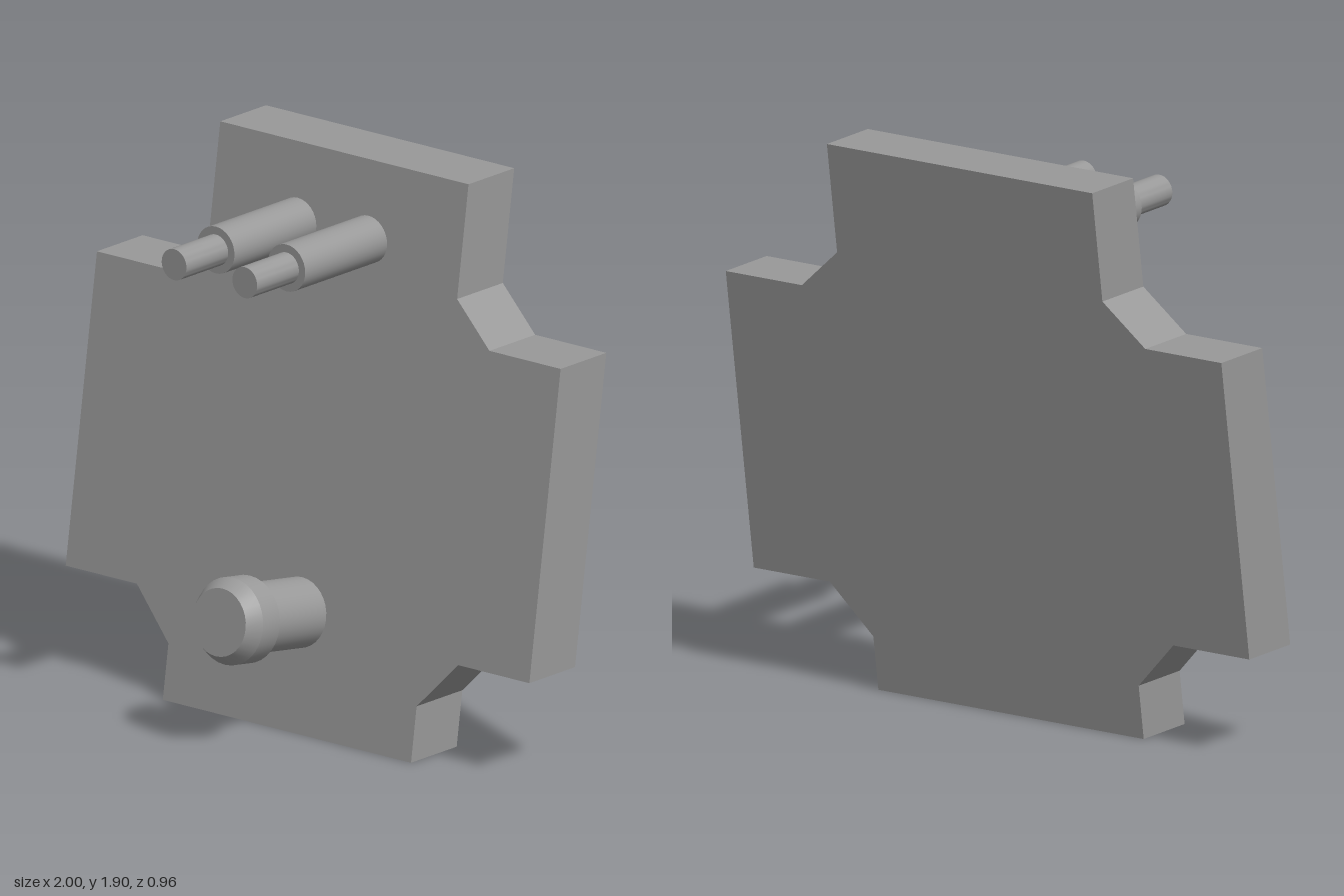
import * as THREE from 'three';
import { toCreasedNormals } from 'three/addons/utils/BufferGeometryUtils.js';

const LEAN = 0.152; // backward slope of the plate, z per unit of height
const THICKNESS = 0.23;

const material = new THREE.MeshStandardMaterial({ color: 0x999999 });

function part(name, geometry, parent) {
  const mesh = new THREE.Mesh(geometry, material);
  mesh.name = name;
  parent.add(mesh);
  return mesh;
}

// Turned part along +z, from [radius, z] pairs ordered back to front
function turned(profile) {
  const points = profile.map(([r, z]) => new THREE.Vector2(r, z));
  const geometry = new THREE.LatheGeometry(points, 32).rotateX(Math.PI / 2);
  return toCreasedNormals(geometry, 0.4);
}

// Cross-shaped plate with chamfered inner corners, sheared backward
function plateGeometry() {
  const half = [
    [0.53, 0], [0.53, 0.186], [0.686, 0.352], [0.99, 0.352],
    [0.99, 1.387], [0.686, 1.387], [0.53, 1.527], [0.53, 1.905],
  ];
  const mirrored = half.map(([x, y]) => [-x, y]).reverse();
  const outline = [...half, ...mirrored].map(([x, y]) => new THREE.Vector2(x, y));
  const geometry = new THREE.ExtrudeGeometry(new THREE.Shape(outline), {
    depth: THICKNESS, bevelEnabled: false,
  });
  geometry.translate(0, 0, -THICKNESS);
  return geometry.applyMatrix4(new THREE.Matrix4().set(
    1, 0, 0, 0,
    0, 1, 0, 0,
    0, -LEAN, 1, 0,
    0, 0, 0, 1,
  ));
}

export function createModel() {
  const model = new THREE.Group();
  model.name = 'mountingPlate';

  // Everything is turned slightly about the vertical
  const body = new THREE.Group();
  body.name = 'body';
  body.position.set(-0.0165, 0, 0.078);
  body.rotation.y = -0.066;
  model.add(body);

  part('plate', plateGeometry(), body);

  // Two horizontal stepped pegs near the top
  for (const side of [-1, 1]) {
    const peg = part(side < 0 ? 'rightPeg' : 'leftPeg', turned([
      [0, -0.232], [0.08, -0.232], [0.08, 0.18],
      [0.053, 0.18], [0.053, 0.39], [0, 0.39],
    ]), body);
    peg.position.set(side * 0.151, 1.655, 0);
  }

  // Knob near the bottom, square to the leaning face; z = 0 is its tip
  const knob = part('knob', turned([
    [0, -0.48], [0.117, -0.48], [0.117, -0.135], [0.145, -0.135],
    [0.145, -0.05], [0.113, 0], [0, 0],
  ]), body);
  knob.position.set(0, 0.453, 0.341);
  knob.rotation.x = -Math.atan(LEAN);

  return model;
}
